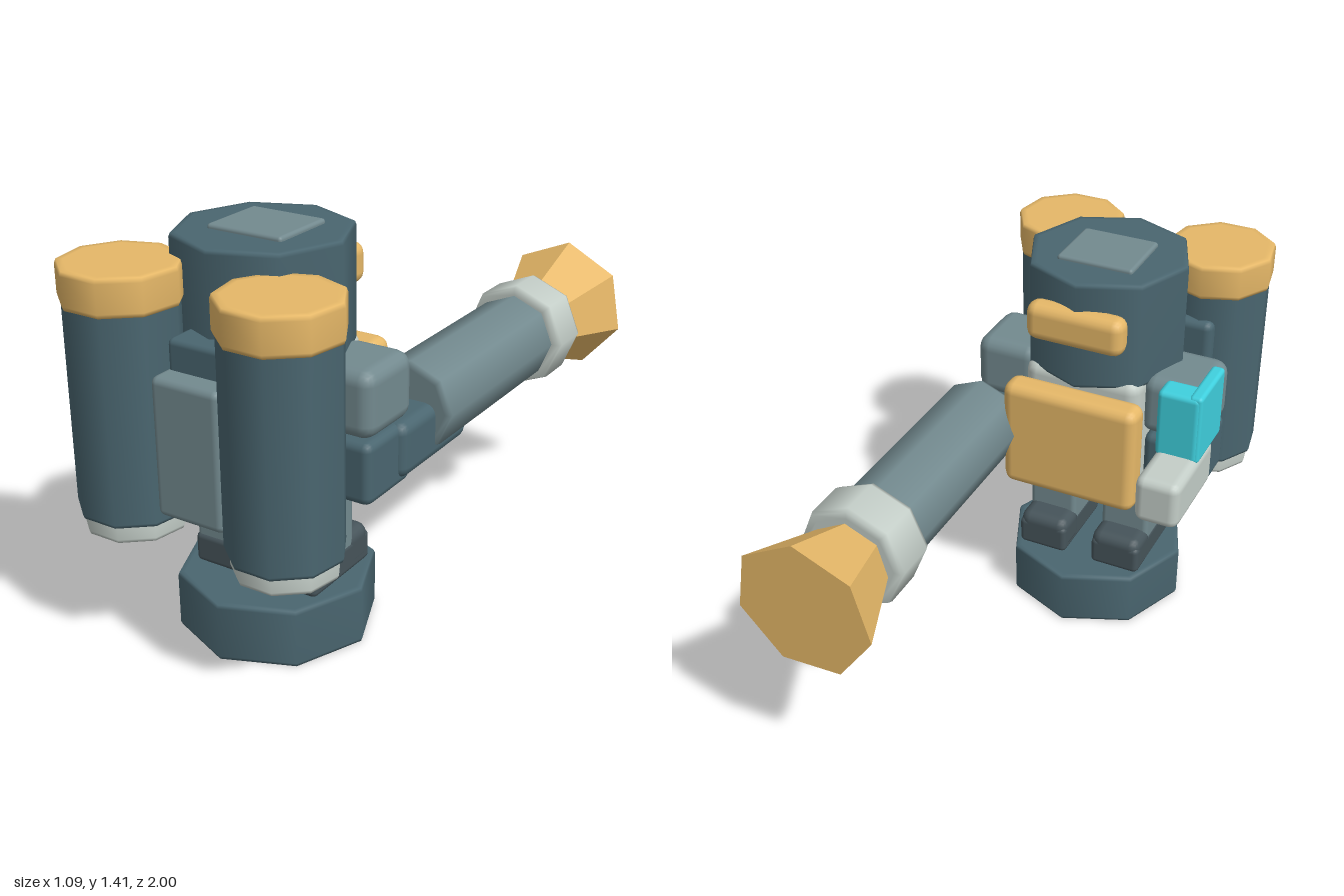
import * as THREE from 'three';
import { RoundedBoxGeometry } from 'three/addons/geometries/RoundedBoxGeometry.js';

const paint = (color, flatShading = false) => new THREE.MeshStandardMaterial({ color, flatShading });

export function createModel() {
  const slate = paint(0x4a6670), steel = paint(0x738a8f), pale = paint(0xc4cec8);
  const gold = paint(0xe6b868), goldFlat = paint(0xe6b868, true);
  const cyan = paint(0x3fd0de), charcoal = paint(0x46545a);

  const model = new THREE.Group();
  model.name = 'heavyRobot';
  // the body's own centre plane lies slightly off the origin
  const body = new THREE.Group();
  body.name = 'body';
  body.position.x = -0.058;
  model.add(body);

  function add(name, geometry, material, x = 0, y = 0, z = 0, parent = body) {
    const mesh = new THREE.Mesh(geometry, material);
    mesh.name = name;
    mesh.position.set(x, y, z);
    parent.add(mesh);
    return mesh;
  }

  // rounded box given by its limits on each axis
  function box(name, material, [x0, x1], [y0, y1], [z0, z1], r = 0.03) {
    const w = x1 - x0, h = y1 - y0, d = z1 - z0;
    const geo = new RoundedBoxGeometry(w, h, d, 2, Math.min(r, w / 2.1, h / 2.1, d / 2.1));
    return add(name, geo, material, (x0 + x1) / 2, (y0 + y1) / 2, (z0 + z1) / 2);
  }

  // upright faceted drum with small softened rims, standing on y = 0
  function drum(r, h, sides, start = 0, bevel = 0.012) {
    const b = bevel;
    const pts = [[0, 0], [r - 2 * b, 0], [r - b * 0.4, 0], [r, b], [r, h - b],
      [r - b * 0.4, h], [r - 2 * b, h], [0, h]].map(([x, y]) => new THREE.Vector2(x, y));
    return new THREE.LatheGeometry(pts, sides, start);
  }

  // stand
  add('base', drum(0.34, 0.205, 8), slate, 0, 0, 0.45);

  // torso, chest and back
  box('torso', pale, [-0.22, 0.22], [0.52, 1.03], [0.24, 0.61], 0.05);
  box('pelvis', pale, [-0.11, 0.11], [0.49, 0.58], [0.3, 0.62]);
  box('chestPlate', gold, [-0.255, 0.255], [0.56, 0.98], [0.13, 0.24], 0.04);
  box('backFrame', slate, [-0.35, 0.35], [0.54, 1.12], [0.6, 0.69]);
  box('backSpine', slate, [-0.115, 0.115], [0.56, 1.12], [0.6, 0.83], 0.02);
  box('backPanel', steel, [-0.128, 0.128], [0.55, 1.02], [0.74, 0.905], 0.025);

  // head
  add('head', drum(0.292, 0.395, 8), slate, 0, 1.0, 0.478);
  box('headHatch', steel, [-0.14, 0.14], [1.37, 1.41], [0.34, 0.585], 0.012);
  box('brow', gold, [-0.18, 0.18], [1.16, 1.3], [0.16, 0.25], 0.04);
  box('eyeStrip', cyan, [-0.15, 0.15], [1.15, 1.26], [0.2, 0.262], 0.02);

  for (const s of [-1, 1]) {
    const side = s > 0 ? 'left' : 'right';
    const span = (a, b) => (s > 0 ? [a, b] : [-b, -a]);

    // legs and feet
    box(side + 'Leg', steel, span(0.055, 0.242), [0.25, 0.62], [0.345, 0.58], 0.02);
    box(side + 'Foot', charcoal, span(0.053, 0.245), [0.2, 0.31], [0.25, 0.588], 0.02);
    box(side + 'Toe', charcoal, span(0.05, 0.246), [0.2, 0.34], [0.25, 0.39], 0.04);
    box(side + 'HipFlap', pale, span(0.06, 0.21), [0.465, 0.585], [0.285, 0.36], 0.035)
      .rotation.z = s * 0.15;

    // arms
    box(side + 'Shoulder', steel, span(0.2, 0.445), [0.8, 1.03], [0.305, 0.572], 0.05);
    box(side + 'UpperArm', slate, span(0.22, 0.44), [0.58, 0.795], [0.31, 0.57], 0.03);

    // nine-sided tanks on the back
    const tx = s * 0.295, tz = 0.81;
    add(side + 'Tank', drum(0.19, 0.71, 9, Math.PI), slate, tx, 0.51, tz);
    add(side + 'TankLid', drum(0.2, 0.122, 9, Math.PI, 0.014), gold, tx, 1.208, tz);
    add(side + 'TankFoot', drum(0.173, 0.08, 9, Math.PI), pale, tx, 0.45, tz);
  }

  // right forearm with its coloured guard
  box('rightForearm', pale, [-0.452, -0.287], [0.6, 0.785], [0.06, 0.42], 0.035);
  box('armGuardFront', cyan, [-0.445, -0.287], [0.765, 1.03], [0.245, 0.345], 0.02);
  box('armGuardSide', cyan, [-0.45, -0.4], [0.765, 1.035], [0.25, 0.49], 0.015);

  // left forearm and cannon, pointing forwards along -z
  box('leftForearm', slate, [0.268, 0.463], [0.605, 0.8], [-0.03, 0.4], 0.04);
  const cannon = new THREE.Group();
  cannon.name = 'cannon';
  cannon.position.set(0.304, 0.772, 0.2);
  cannon.rotation.x = -Math.PI / 2;
  model.add(cannon);
  add('barrel', drum(0.158, 0.77, 8), steel, 0, 0, 0, cannon);
  add('collar', drum(0.193, 0.17, 8, 0, 0.016), pale, 0, 0.755, 0, cannon);
  add('nozzle', new THREE.CylinderGeometry(0.246, 0.135, 0.29, 7, 1, false, 0.045), goldFlat,
    0, 1.055, 0, cannon);

  return model;
}
